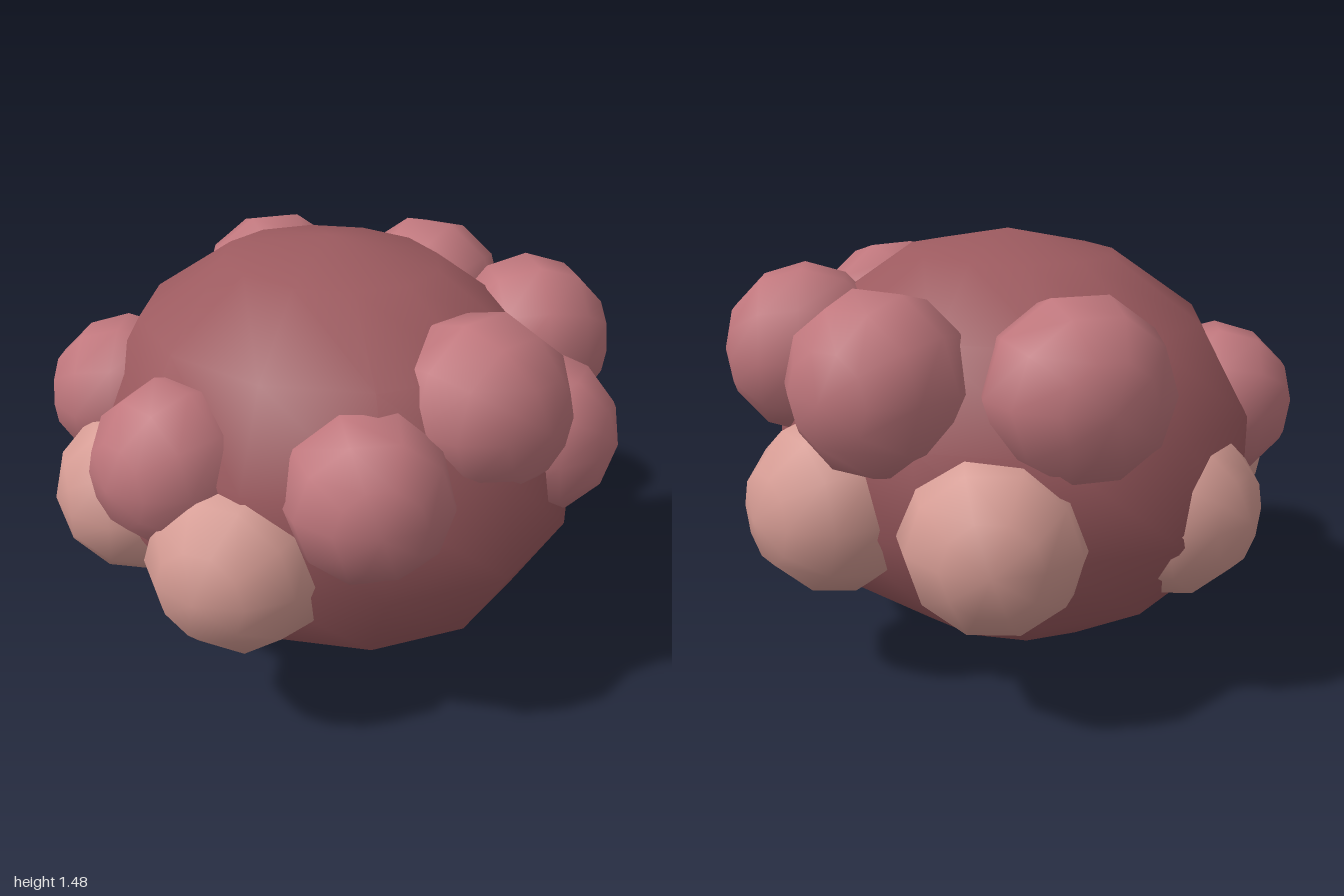
import * as THREE from 'three';

export function createModel() {
  const model = new THREE.Group();
  const material = (color) => new THREE.MeshStandardMaterial({ color });

  // Large low-poly egg-shaped core
  const body = new THREE.Mesh(new THREE.SphereGeometry(1, 12, 7), material(0x9c5a5f));
  body.name = 'body';
  body.scale.set(0.82, 0.74, 0.94);
  body.position.set(-0.02, 0.74, 0);
  model.add(body);

  // Round lobe with its pole along local +z, so it can be turned outwards
  const lobeGeometry = new THREE.SphereGeometry(1, 10, 6).rotateX(Math.PI / 2);
  const pink = material(0xc0777d);
  const pale = material(0xd69c94);

  // Each tier: height, radius across, radius outwards, [x, z] of each lobe
  const tiers = [
    { name: 'upperLobe', y: 1.07, across: 0.305, out: 0.285, mat: pink,
      spots: [[0.22, -0.68], [0.66, -0.25], [0.6, 0.36], [0.05, 0.68]] },
    { name: 'middleLobe', y: 0.88, across: 0.28, out: 0.275, mat: pink,
      spots: [[0.36, 0.65], [-0.37, 0.64], [-0.72, 0.1], [-0.57, -0.5]] },
    { name: 'lowerLobe', y: 0.615, across: 0.31, out: 0.31, mat: pale,
      spots: [[0.69, 0], [0.45, -0.57], [-0.19, -0.67], [-0.66, -0.26], [-0.64, 0.34]] },
  ];

  for (const { name, y, across, out, mat, spots } of tiers) {
    spots.forEach(([x, z], i) => {
      const lobe = new THREE.Mesh(lobeGeometry, mat);
      lobe.name = name + (i + 1);
      lobe.position.set(x, y, z);
      lobe.rotation.y = Math.atan2(x, z);
      lobe.scale.set(across, across, out);
      model.add(lobe);
    });
  }

  return model;
}
